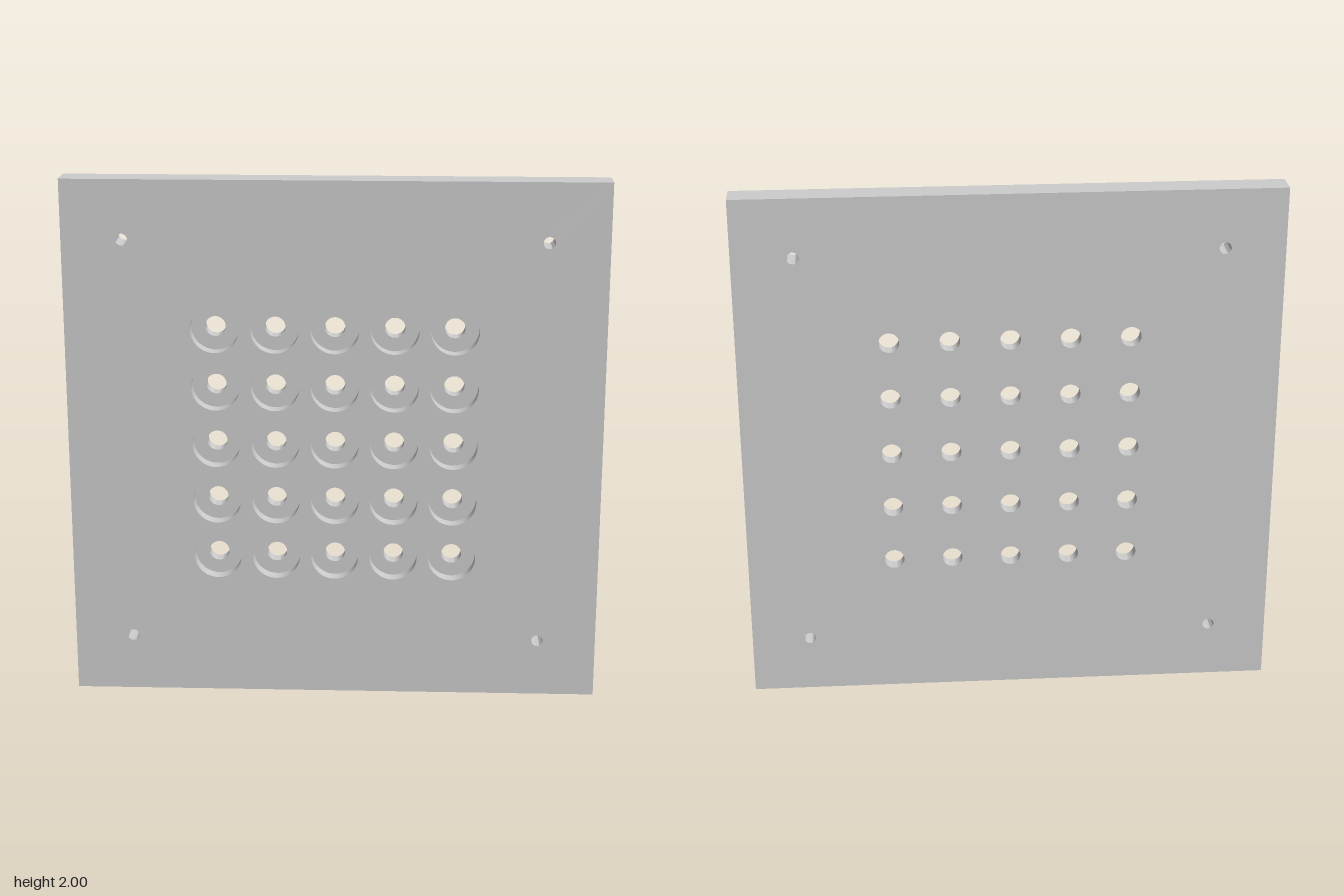
import * as THREE from 'three';
import { mergeGeometries, toCreasedNormals } from 'three/addons/utils/BufferGeometryUtils.js';

const HALF = 1, T = 0.052;                 // half width and half thickness of the plate
const PITCH = 0.222, BORE = 0.09, HOLE = 0.038;
const MOUNT = 0.778, MOUNT_R = 0.022;
const SEG = 48;

const grid = [];
for (let r = -2; r <= 2; r++) for (let c = -2; c <= 2; c++) grid.push([c * PITCH, r * PITCH]);
const corners = [[-MOUNT, -MOUNT], [MOUNT, -MOUNT], [MOUNT, MOUNT], [-MOUNT, MOUNT]];

// Square face at z = T, pierced by the grid holes and the mounting holes
function face(radius) {
  const s = new THREE.Shape();
  s.moveTo(-HALF, -HALF).lineTo(HALF, -HALF).lineTo(HALF, HALF).lineTo(-HALF, HALF).closePath();
  const cut = (r) => ([x, y]) => s.holes.push(new THREE.Path().absarc(x, y, r, 0, Math.PI * 2, true));
  grid.forEach(cut(radius));
  corners.forEach(cut(MOUNT_R));
  return new THREE.ShapeGeometry(s, SEG / 2).translate(0, 0, T);
}

// Inner wall of a hole along z, from a [radius, z] profile running front to back
function holeWall(profile) {
  const g = new THREE.LatheGeometry(profile.map(([r, z]) => new THREE.Vector2(r, z)), SEG);
  return toCreasedNormals(g.rotateX(Math.PI / 2), 0.6);
}

export function createModel() {
  const group = new THREE.Group();
  group.name = 'perforatedPlate';
  const material = new THREE.MeshStandardMaterial({ color: 0xcccccc });
  const add = (name, geometry, x = 0, y = 0) => {
    const m = new THREE.Mesh(geometry, material);
    m.name = name;
    m.position.set(x, y + HALF, 0);
    group.add(m);
  };

  // Plate faces: wide openings in front, narrow ones behind
  add('frontFace', face(BORE));
  add('backFace', face(HOLE).rotateY(Math.PI));

  // Four edges of the plate
  const edges = [0, 1, 2, 3].map((i) =>
    new THREE.PlaneGeometry(2 * T, 2 * HALF).rotateY(Math.PI / 2).translate(HALF, 0, 0).rotateZ(i * Math.PI / 2));
  add('plateEdges', mergeGeometries(edges));

  // Counterbored holes, stepped at mid thickness
  const stepped = holeWall([[BORE, T], [BORE, 0], [HOLE, 0], [HOLE, -T]]);
  grid.forEach(([x, y]) => add('counterboredHole', stepped, x, y));

  // Small mounting holes near the corners
  const mount = holeWall([[MOUNT_R, T], [MOUNT_R, -T]]);
  corners.forEach(([x, y]) => add('mountingHole', mount, x, y));
  return group;
}
